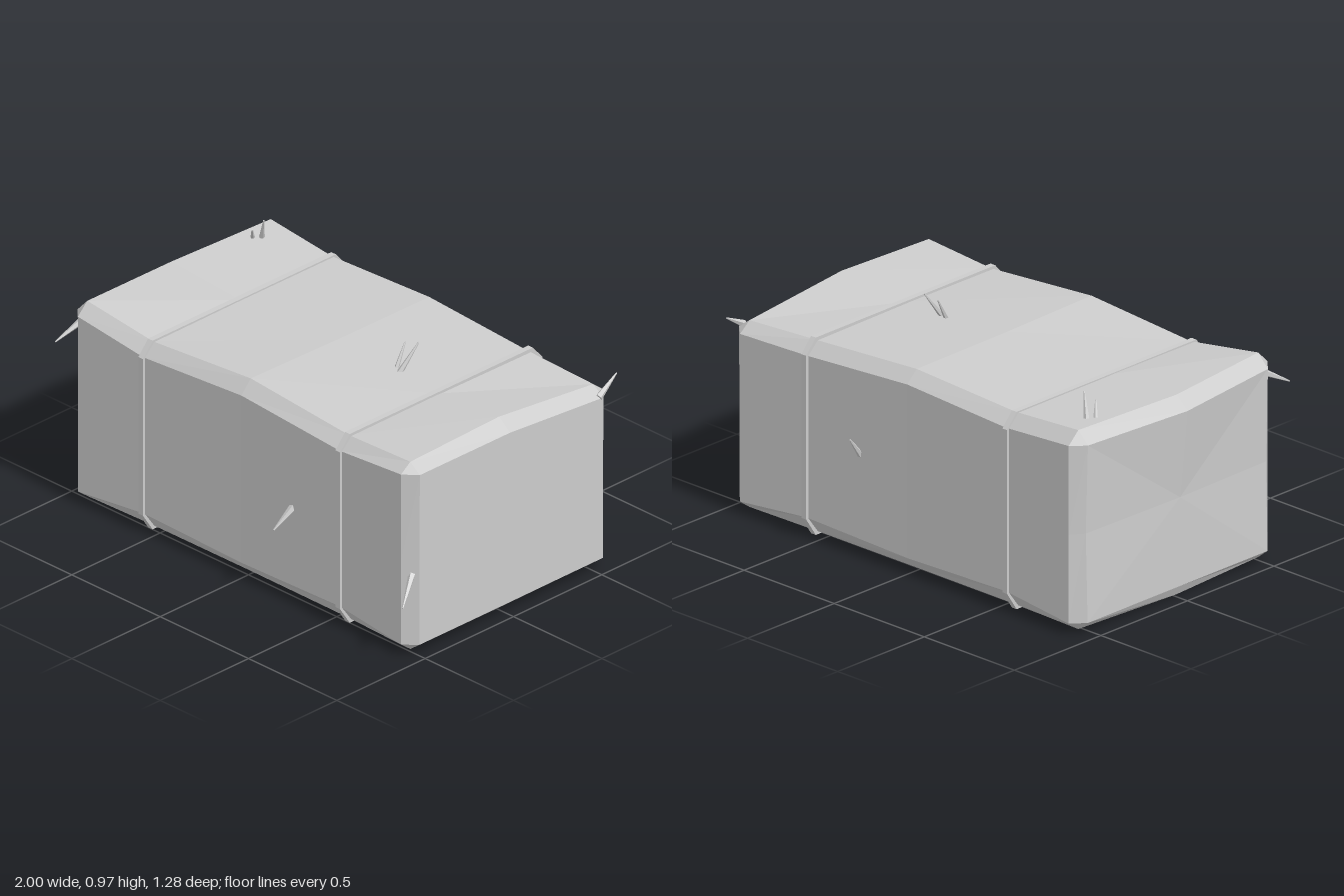
import * as THREE from 'three';

const straw = new THREE.MeshStandardMaterial({ color: 0xcccccc });
straw.name = 'pale grey straw';

// Closed section of the bale, from the bottom front edge up over the top and round the back.
// low: lower side edge, high: front/back upper side edge, top: front/middle/back top heights
function section({ x, mid = x, low, front, back, highF, highB, top }) {
  const zf = front - 0.053, zb = back + 0.055;
  return [
    [x, 0.015, zf], [x, low, front], [x, 0.44, front], [x, highF, front],
    [x, top[0], zf], [mid, top[1], 0], [x, top[2], zb],
    [x, highB, back], [x, 0.44, back], [x, low, back], [x, 0.015, zb], [mid, 0.012, 0],
  ];
}

// End panel outline; the corner points are doubled so it matches the section
function endRing(xs, low, highF, highM, highB) {
  const f = 0.505, b = -0.535;
  const lf = [xs.low, low, f], hf = [xs.high, highF, f];
  const lb = [xs.low, low, b], hb = [xs.high, highB, b];
  return [lf, lf, [xs.mid, 0.44, f], hf, hf, [xs.peak, highM, 0], hb, hb,
    [xs.mid, 0.44, b], lb, lb, [xs.low, low, 0]];
}

function flat(geometry) {
  const g = geometry.index ? geometry.toNonIndexed() : geometry;
  g.computeVertexNormals();
  return g;
}

function baleGeometry() {
  const rings = [
    endRing({ low: -0.96, mid: -0.95, high: -0.962, peak: -1.0 }, 0.055, 0.845, 0.825, 0.825),
    section({ x: -0.91, mid: -0.938, low: 0.055, front: 0.555, back: -0.592, highF: 0.85, highB: 0.825, top: [0.902, 0.878, 0.878] }),
    section({ x: -0.55, low: 0.088, front: 0.543, back: -0.58, highF: 0.797, highB: 0.797, top: [0.85, 0.852, 0.85] }),
    section({ x: 0, low: 0.072, front: 0.54, back: -0.578, highF: 0.832, highB: 0.825, top: [0.89, 0.88, 0.876] }),
    section({ x: 0.56, low: 0.088, front: 0.543, back: -0.58, highF: 0.795, highB: 0.79, top: [0.846, 0.848, 0.842] }),
    section({ x: 0.918, low: 0.055, front: 0.555, back: -0.588, highF: 0.828, highB: 0.782, top: [0.866, 0.88, 0.825] }),
    endRing({ low: 0.972, mid: 0.972, high: 0.975, peak: 0.98 }, 0.055, 0.828, 0.83, 0.785),
  ];
  const pos = [];
  const tri = (a, b, c) => {
    if (a !== b && b !== c && a !== c) pos.push(...a, ...b, ...c);
  };
  const n = rings[0].length, last = rings.length - 1;
  for (let k = 0; k < n; k++) {
    const j = (k + 1) % n;
    for (let i = 0; i < last; i++) {
      tri(rings[i][k], rings[i + 1][k], rings[i + 1][j]);
      tri(rings[i][k], rings[i + 1][j], rings[i][j]);
    }
    tri([-0.96, 0.44, 0], rings[0][k], rings[0][j]);
    tri([0.975, 0.44, 0], rings[last][j], rings[last][k]);
  }
  const g = new THREE.BufferGeometry();
  g.setAttribute('position', new THREE.Float32BufferAttribute(pos, 3));
  return flat(g);
}

// Binding band: a chamfered frame hugging the bale
function bandGeometry() {
  const outline = (t) => {
    const f = 0.543 + t, b = -0.58 - t, c = 0.055;
    return [
      [f - c, 0.014 - t], [f, 0.085], [f, 0.797], [f - c, 0.848 + t],
      [b + c, 0.846 + t], [b, 0.795], [b, 0.085], [b + c, 0.014 - t],
    ].map(([z, y]) => new THREE.Vector2(-z, y));
  };
  const shape = new THREE.Shape(outline(0.012));
  shape.holes.push(new THREE.Path(outline(-0.015)));
  const width = 0.026;
  return new THREE.ExtrudeGeometry(shape, { depth: width, bevelEnabled: false })
    .translate(0, 0, -width / 2).rotateY(Math.PI / 2);
}

// Tapered stalk sticking out from base to tip
function stalk(base, tip, radius) {
  const a = new THREE.Vector3(...base), b = new THREE.Vector3(...tip);
  const dir = b.clone().sub(a), length = dir.length();
  const g = flat(new THREE.CylinderGeometry(0.003, radius, length, 5).translate(0, length / 2, 0));
  const mesh = new THREE.Mesh(g, straw);
  mesh.position.copy(a);
  mesh.quaternion.setFromUnitVectors(new THREE.Vector3(0, 1, 0), dir.normalize());
  mesh.name = 'looseStalk';
  return mesh;
}

export function createModel() {
  const model = new THREE.Group();
  model.name = 'strawBale';

  const bale = new THREE.Mesh(baleGeometry(), straw);
  bale.name = 'bale';
  model.add(bale);

  const band = bandGeometry();
  for (const [name, x] of [['rightBand', -0.555], ['leftBand', 0.56]]) {
    const mesh = new THREE.Mesh(band, straw);
    mesh.name = name;
    mesh.position.x = x;
    model.add(mesh);
  }

  const stalks = new THREE.Group();
  stalks.name = 'looseStalks';
  [
    // top tufts
    [[-0.84, 0.86, -0.415], [-0.8, 0.97, -0.388], 0.013],
    [[-0.865, 0.86, -0.39], [-0.83, 0.93, -0.352], 0.011],
    [[0.31, 0.85, -0.025], [0.303, 0.955, -0.085], 0.011],
    [[0.338, 0.85, -0.015], [0.364, 0.97, -0.1], 0.014],
    // front face and front corners
    [[0.287, 0.435, 0.53], [0.272, 0.358, 0.63], 0.017],
    [[0.943, 0.375, 0.515], [0.998, 0.277, 0.625], 0.016],
    [[-0.922, 0.815, 0.52], [-0.955, 0.75, 0.638], 0.016],
    // back corner and back face
    [[0.968, 0.79, -0.515], [0.954, 0.853, -0.63], 0.016],
    [[0.266, 0.435, -0.565], [0.262, 0.527, -0.636], 0.015],
  ].forEach((s) => stalks.add(stalk(...s)));
  model.add(stalks);

  return model;
}
